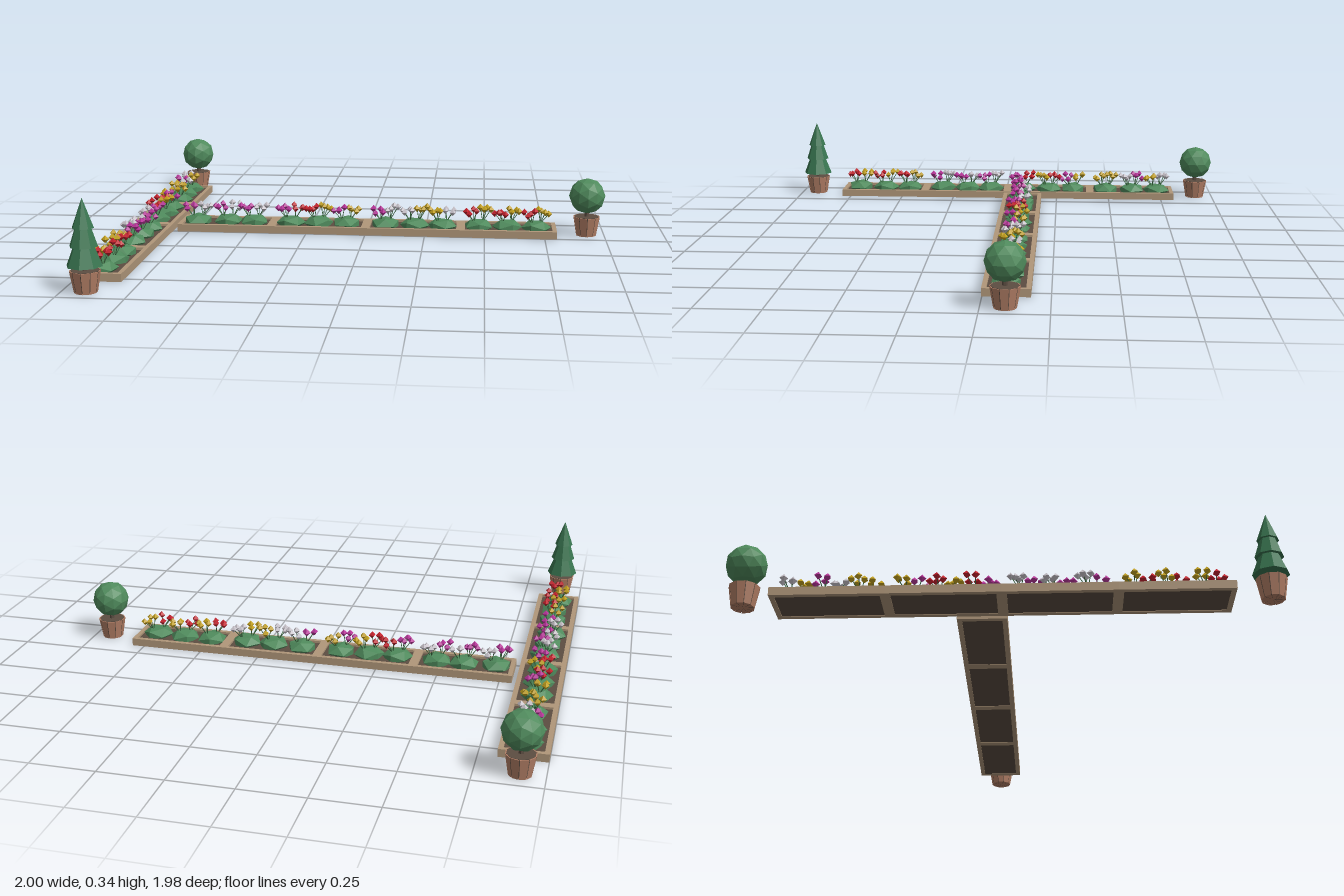
import * as THREE from 'three';

const mat = (name, hex, side = THREE.FrontSide) => {
  const m = new THREE.MeshStandardMaterial({ color: hex, flatShading: true, side });
  m.name = name;
  return m;
};
const timber = mat('timber', 0xb0977a);
const soil = mat('soil', 0x5c4d42);
const leaf = mat('leaf', 0x4f8a5c);
const fir = mat('fir', 0x397550);
const stem = mat('stem', 0x3c6b42);
const terracotta = mat('terracotta', 0xb37f66, THREE.DoubleSide);
const blooms = {
  m: mat('magenta', 0xb8369a),
  w: mat('white', 0xc9c4cb),
  r: mat('red', 0xc4202c),
  y: mat('yellow', 0xc2a01e),
};

function add(parent, name, geometry, material, x = 0, y = 0, z = 0) {
  const mesh = new THREE.Mesh(geometry, material);
  mesh.name = name;
  mesh.position.set(x, y, z);
  parent.add(mesh);
  return mesh;
}

function group(parent, name, x = 0, y = 0, z = 0) {
  const g = new THREE.Group();
  g.name = name;
  g.position.set(x, y, z);
  parent.add(g);
  return g;
}

// Repeatable variation for the planting
let seed = 7;
const rand = () => {
  seed = (seed * 16807) % 2147483647;
  return seed / 2147483647;
};
const vary = (a) => (rand() * 2 - 1) * a;

const bushGeo = new THREE.IcosahedronGeometry(0.064, 0).scale(1, 0.5, 1);
const bloomGeo = new THREE.OctahedronGeometry(0.0155);
const UP = new THREE.Vector3(0, 1, 0);

// Thin stem with a bloom at its tip
function flower(parent, from, to, material) {
  const dir = to.clone().sub(from);
  const mid = from.clone().add(to).multiplyScalar(0.5);
  const s = add(parent, 'stem', new THREE.CylinderGeometry(0.0018, 0.0018, dir.length(), 3), stem, mid.x, mid.y, mid.z);
  s.quaternion.setFromUnitVectors(UP, dir.normalize());
  add(parent, 'bloom', bloomGeo, material, to.x, to.y, to.z).rotation.y = rand() * 3;
}

// Low bush carrying two bunches of flowers
function bush(parent, x, colours) {
  const g = group(parent, 'floweringBush', x + vary(0.006), 0, vary(0.006));
  add(g, 'foliage', bushGeo, leaf, 0, 0.03, 0).rotation.y = rand() * 6;
  [-1, 1].forEach((side, i) => {
    const cx = side * 0.03, cz = -side * 0.017;
    const turn = rand() * 2;
    for (let k = 0; k < 4; k++) {
      const a = turn + k * Math.PI / 2;
      const tip = new THREE.Vector3(cx + Math.cos(a) * 0.023, 0.094 + vary(0.011), cz + Math.sin(a) * 0.023);
      flower(g, new THREE.Vector3(cx * 0.6, 0.045, cz * 0.6), tip, blooms[colours[i]]);
    }
  });
}

// Timber framed bed, 0.4 long, with three bushes
function bed(parent, x, plants) {
  const g = group(parent, 'flowerBed', x);
  const L = 0.4, W = 0.18, H = 0.031, T = 0.018;
  for (const s of [-1, 1]) {
    add(g, 'sideRail', new THREE.BoxGeometry(L, H, T), timber, 0, H / 2, s * (W - T) / 2);
    add(g, 'endRail', new THREE.BoxGeometry(T, H, W - 2 * T), timber, s * (L - T) / 2, H / 2, 0);
  }
  add(g, 'soil', new THREE.BoxGeometry(L - 2 * T, 0.02, W - 2 * T), soil, 0, 0.012, 0);
  plants.forEach((c, i) => bush(g, (i - 1) * 0.12, c));
}

function bedRow(parent, name, x, z, turn, beds) {
  const row = group(parent, name, x, 0, z);
  row.rotation.y = turn;
  beds.forEach((plants, i) => bed(row, -0.6 + i * 0.4, plants));
}

// Tapered pot of separate staves around a dark core
function pot(parent) {
  const g = group(parent, 'pot');
  const n = 10, step = Math.PI * 2 / n;
  for (let i = 0; i < n; i++) {
    add(g, 'stave', new THREE.CylinderGeometry(0.056, 0.042, 0.08, 1, 1, false, (i + 0.04) * step, step * 0.92), terracotta, 0, 0.04, 0);
  }
  add(g, 'potCore', new THREE.CylinderGeometry(0.052, 0.039, 0.078, n), soil, 0, 0.042, 0);
  add(g, 'trunk', new THREE.CylinderGeometry(0.01, 0.01, 0.05, 6), soil, 0, 0.095, 0);
}

function ballTree(parent, x, z) {
  const g = group(parent, 'ballTree', x, 0, z);
  pot(g);
  add(g, 'crown', new THREE.IcosahedronGeometry(0.075, 1), leaf, 0, 0.168, 0);
}

function firTree(parent, x, z) {
  const g = group(parent, 'firTree', x, 0, z);
  pot(g);
  // Three overlapping tiers: base height, radius, top height, top radius
  for (const [y0, r0, y1, r1] of [[0.097, 0.066, 0.2, 0.026], [0.168, 0.052, 0.265, 0.02], [0.235, 0.04, 0.343, 0]]) {
    add(g, 'tier', new THREE.CylinderGeometry(r1, r0, y1 - y0, 8), fir, 0, (y0 + y1) / 2, 0);
  }
}

export function createModel() {
  const model = new THREE.Group();
  model.name = 'gardenBeds';

  // Two letters per bush: the colours of its two bunches
  const pinkWhite = ['mw', 'mw', 'mw'];
  const redYellow = ['ry', 'ry', 'ry'];
  bedRow(model, 'crossRow', 0, -0.087, 0, [pinkWhite, ['mr', 'ry', 'my'], ['mw', 'wy', 'yw'], redYellow]);
  bedRow(model, 'longRow', -0.91, -0.01, Math.PI / 2, [redYellow, pinkWhite, ['mr', 'yr', 'my'], ['yy', 'wm', 'yw']]);

  ballTree(model, 0.925, -0.09);
  ballTree(model, -0.91, -0.917);
  firTree(model, -0.91, 0.924);
  return model;
}
